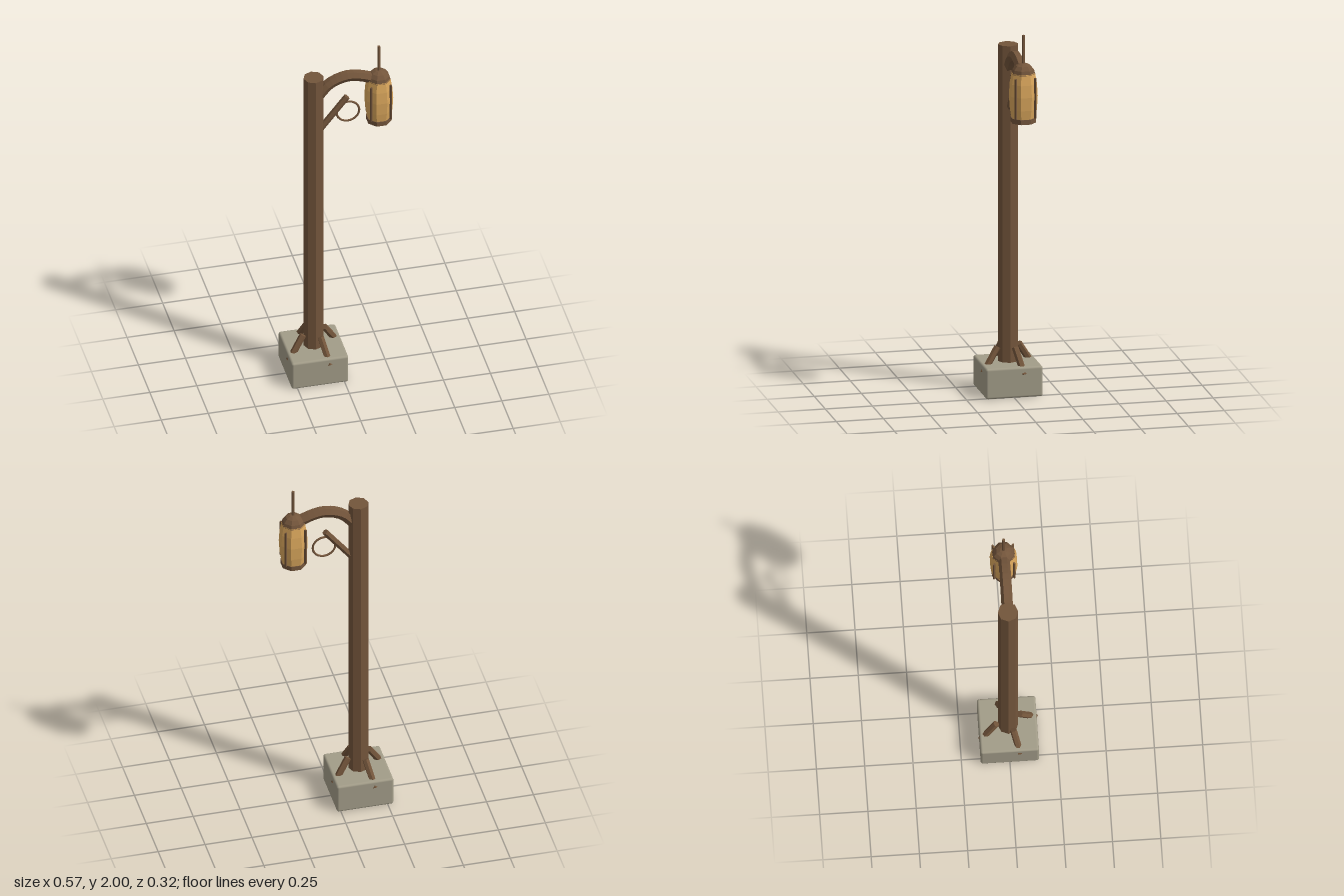
import * as THREE from 'three';
import { RoundedBoxGeometry } from 'three/addons/geometries/RoundedBoxGeometry.js';

const V = (x, y, z = 0) => new THREE.Vector3(x, y, z);

export function createModel() {
  const model = new THREE.Group();
  model.name = 'lanternPost';

  const wood = new THREE.MeshStandardMaterial({ color: 0x73553b, flatShading: true, side: THREE.DoubleSide });
  wood.name = 'brown wood';
  const stone = new THREE.MeshStandardMaterial({ color: 0xa29c88 });
  stone.name = 'grey stone';
  const paper = new THREE.MeshStandardMaterial({ color: 0xd9a65c, flatShading: true });
  paper.name = 'amber paper';

  const add = (name, geometry, material, parent = model) => {
    const mesh = new THREE.Mesh(geometry, material);
    mesh.name = name;
    parent.add(mesh);
    return mesh;
  };

  // Straight hexagonal beam between two points
  const beam = (name, a, b, radius) => {
    const dir = b.clone().sub(a);
    const mesh = add(name, new THREE.CylinderGeometry(radius, radius, dir.length(), 6), wood);
    mesh.position.copy(a).add(b).multiplyScalar(0.5);
    mesh.quaternion.setFromUnitVectors(V(0, 1, 0), dir.normalize());
    return mesh;
  };

  const postX = -0.13;

  // Stone footing
  add('base', new RoundedBoxGeometry(0.302, 0.163, 0.302, 2, 0.012), stone)
    .position.set(postX, 0.0815, 0);

  // Octagonal post
  add('post', new THREE.CylinderGeometry(0.053, 0.053, 1.76, 8), wood)
    .position.set(postX, 0.98, 0);

  // Four raking struts, their feet just breaking through the footing
  for (let i = 0; i < 4; i++) {
    const angle = 0.36 + i * Math.PI / 2;
    const at = (r, y) => V(postX + r * Math.sin(angle), y, r * Math.cos(angle));
    beam('footStrut', at(0.152, 0.118), at(0.066, 0.246), 0.018);
  }

  // Curved arm carrying the lantern
  const armCurve = new THREE.CatmullRomCurve3([
    V(-0.11, 1.735), V(-0.04, 1.81), V(0.05, 1.84), V(0.12, 1.83), V(0.185, 1.805),
  ]);
  add('arm', new THREE.TubeGeometry(armCurve, 12, 0.03, 6), wood);

  // Brace and hanging ring below the arm
  beam('brace', V(-0.095, 1.525), V(0.048, 1.708), 0.017);
  add('ring', new THREE.TorusGeometry(0.06, 0.006, 6, 24), wood)
    .position.set(0.053, 1.615, 0);

  // Lantern, with flat sides facing the axes
  const lantern = new THREE.Group();
  lantern.name = 'lantern';
  lantern.position.x = 0.217;
  model.add(lantern);

  const octagon = (name, profile, material) => {
    const k = 1 / Math.cos(Math.PI / 8);
    const points = profile.map(([r, y]) => new THREE.Vector2(r * k, y));
    return add(name, new THREE.LatheGeometry(points, 8, Math.PI / 8), material, lantern);
  };

  octagon('shade', [[0, 1.555], [0.058, 1.555], [0.066, 1.61], [0.07, 1.68], [0.066, 1.745], [0.057, 1.8], [0, 1.8]], paper);
  octagon('bottomRim', [[0, 1.535], [0.062, 1.535], [0.062, 1.561], [0, 1.561]], wood);
  octagon('cap', [[0, 1.795], [0.058, 1.795], [0.052, 1.818], [0.037, 1.838], [0.018, 1.848], [0, 1.852]], wood);

  // Hanging rod
  add('rod', new THREE.CylinderGeometry(0.008, 0.008, 0.16, 6), wood, lantern)
    .position.y = 1.92;

  // Upright slats at the four diagonals
  for (let i = 0; i < 4; i++) {
    const angle = Math.PI / 4 + i * Math.PI / 2;
    const slat = add('slat', new THREE.BoxGeometry(0.008, 0.215, 0.012), wood, lantern);
    slat.position.set(0.073 * Math.sin(angle), 1.672, 0.073 * Math.cos(angle));
    slat.rotation.y = angle;
  }

  return model;
}
